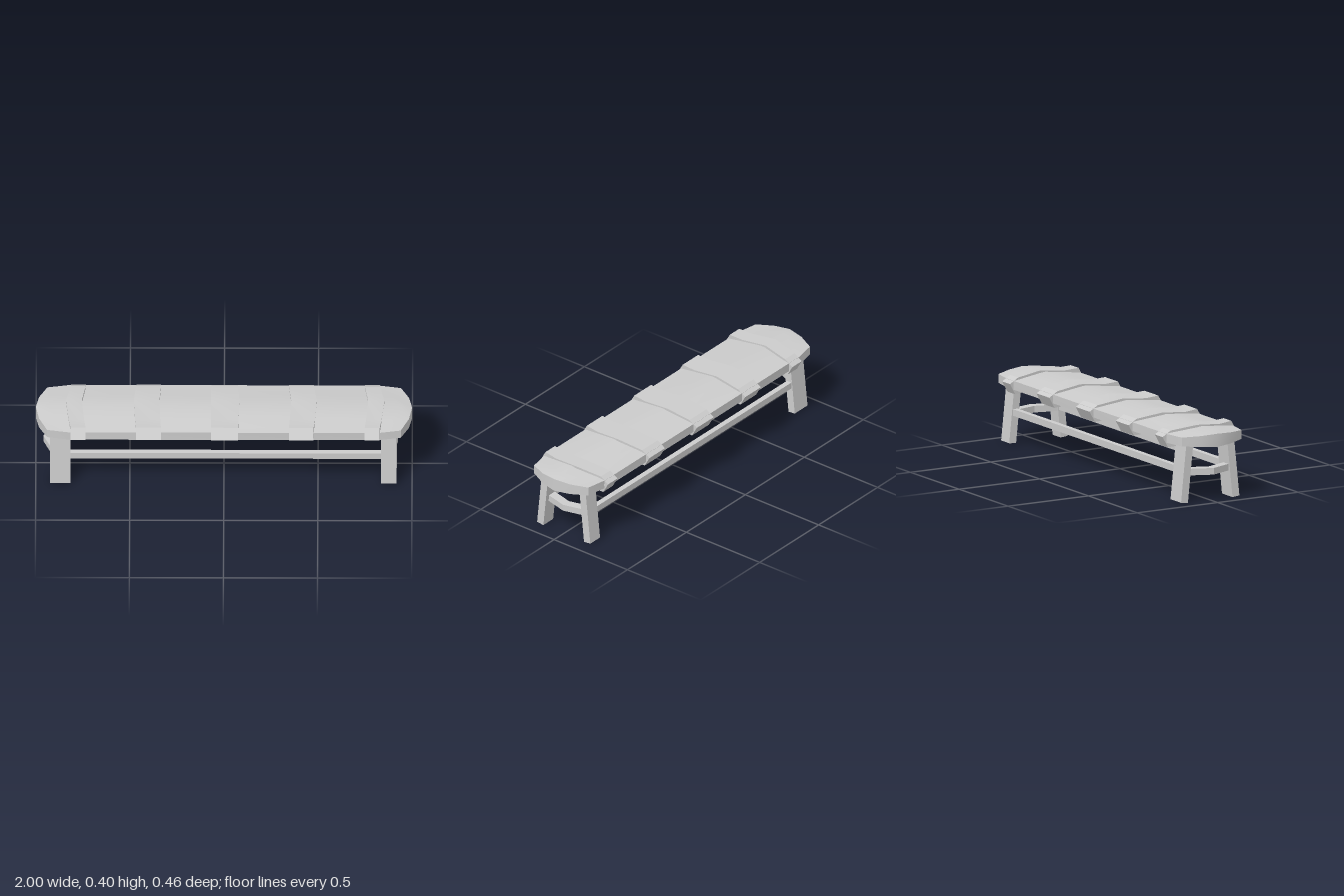
import * as THREE from 'three';
import { toCreasedNormals } from 'three/addons/utils/BufferGeometryUtils.js';

const material = new THREE.MeshStandardMaterial({ color: 0xcccccc });

function addMesh(group, name, geometry) {
  const mesh = new THREE.Mesh(geometry, material);
  mesh.name = name;
  group.add(mesh);
  return mesh;
}

// Skins ten-point sections ordered along +x; each runs back to front on top,
// then front to back underneath. Both ends are closed.
function loft(sections, crease) {
  const n = 10, index = [];
  const quad = (a, b, c, d) => index.push(a, b, c, a, c, d);
  for (let s = 0; s < sections.length - 1; s++) {
    for (let i = 0; i < n; i++) {
      const a = s * n + i, b = s * n + (i + 1) % n;
      quad(a, b, b + n, a + n);
    }
  }
  const e = (sections.length - 1) * n;
  for (let i = 0; i < 4; i++) {
    quad(9 - i, 8 - i, i + 1, i);
    quad(e + i, e + i + 1, e + 8 - i, e + 9 - i);
  }
  const geometry = new THREE.BufferGeometry();
  geometry.setAttribute('position', new THREE.Float32BufferAttribute(sections.flat(2), 3));
  geometry.setIndex(index);
  return toCreasedNormals(geometry, crease);
}

// Seat section: x bulges from edge to ridge, thickness swells to the ridge
function seatSection(side, xs, width, ridge) {
  const top = [-1, -0.5, 0, 0.5, 1].map((f, i) => {
    const k = 2 - Math.abs(i - 2);
    return [side * xs[k], 0.363 + (ridge * k) / 2, f * width];
  });
  const bottom = top.map(([x, y, z]) => [x, 0.678 - y, z]).reverse();
  return [...top, ...bottom];
}

// Strap loop (z, y), point-symmetric about the seat core
const half = [[0.23, 0.33], [0.18, 0.3], [0.03, 0.281], [-0.12, 0.295], [-0.197, 0.289]];
const strapLoop = [...half.map(([z, y]) => [-z, 0.678 - y]), ...half];

// edge and middle are [min x, max x] at the seat edges and at the ridge
function strap(edge, middle) {
  const sections = [0, 1].map((s) => strapLoop.map(([z, y]) => {
    const t = Math.max(0, 1 - Math.abs(z) / 0.18);
    return [THREE.MathUtils.lerp(edge[s], middle[s], t), y, z];
  }));
  return loft(sections, 0.3);
}

// Bent rail between a front and a back leg, bowing away from the middle
function sideRail(endX, bendX, thickness) {
  const h = thickness / 2;
  const shape = new THREE.Shape([
    [endX - h, -0.135], [endX + h, -0.135], [bendX + h, 0],
    [endX + h, 0.135], [endX - h, 0.135], [bendX - h, 0],
  ].map(([x, y]) => new THREE.Vector2(x, y)));
  const geometry = new THREE.ExtrudeGeometry(shape, { depth: 0.036, bevelEnabled: false });
  return geometry.rotateX(-Math.PI / 2).translate(0, 0.145, 0);
}

export function createModel() {
  const group = new THREE.Group();
  group.name = 'bench';

  // Seat plank with rounded ends
  addMesh(group, 'seat', loft([
    seatSection(-1, [0.94, 0.983, 1], 0.185, 0.012),
    seatSection(-1, [0.82, 0.885, 0.94], 0.207, 0.024),
    seatSection(1, [0.82, 0.885, 0.94], 0.207, 0.024),
    seatSection(1, [0.94, 0.983, 1], 0.185, 0.012),
  ], 0.45));

  // Straps wrapped around the seat
  [
    [[-0.815, -0.735], [-0.845, -0.76]],
    [[-0.467, -0.335], [-0.482, -0.345]],
    [[-0.068, 0.075], [-0.07, 0.083]],
    [[0.345, 0.477], [0.36, 0.497]],
    [[0.748, 0.828], [0.77, 0.857]],
  ].forEach(([edge, middle], i) => addMesh(group, `strap${i + 1}`, strap(edge, middle)));

  // Splayed legs and long rails, front and back
  for (const side of [1, -1]) {
    const face = side > 0 ? 'front' : 'back';
    for (const [label, x, width] of [['Left', 0.877, 0.083], ['Right', -0.87, 0.108]]) {
      const leg = addMesh(group, `${face}${label}Leg`, new THREE.BoxGeometry(width, 0.318, 0.043));
      leg.position.set(x, 0.161, side * 0.1435);
      leg.rotation.x = -side * 0.104;
    }
    const rail = addMesh(group, `${face}Rail`, new THREE.BoxGeometry(1.72, 0.036, 0.03));
    rail.position.set(0, 0.17, side * 0.143);
  }

  // Bent rails at both ends
  addMesh(group, 'leftEndRail', sideRail(0.865, 0.9, 0.05));
  addMesh(group, 'rightEndRail', sideRail(-0.88, -0.935, 0.05));

  return group;
}
